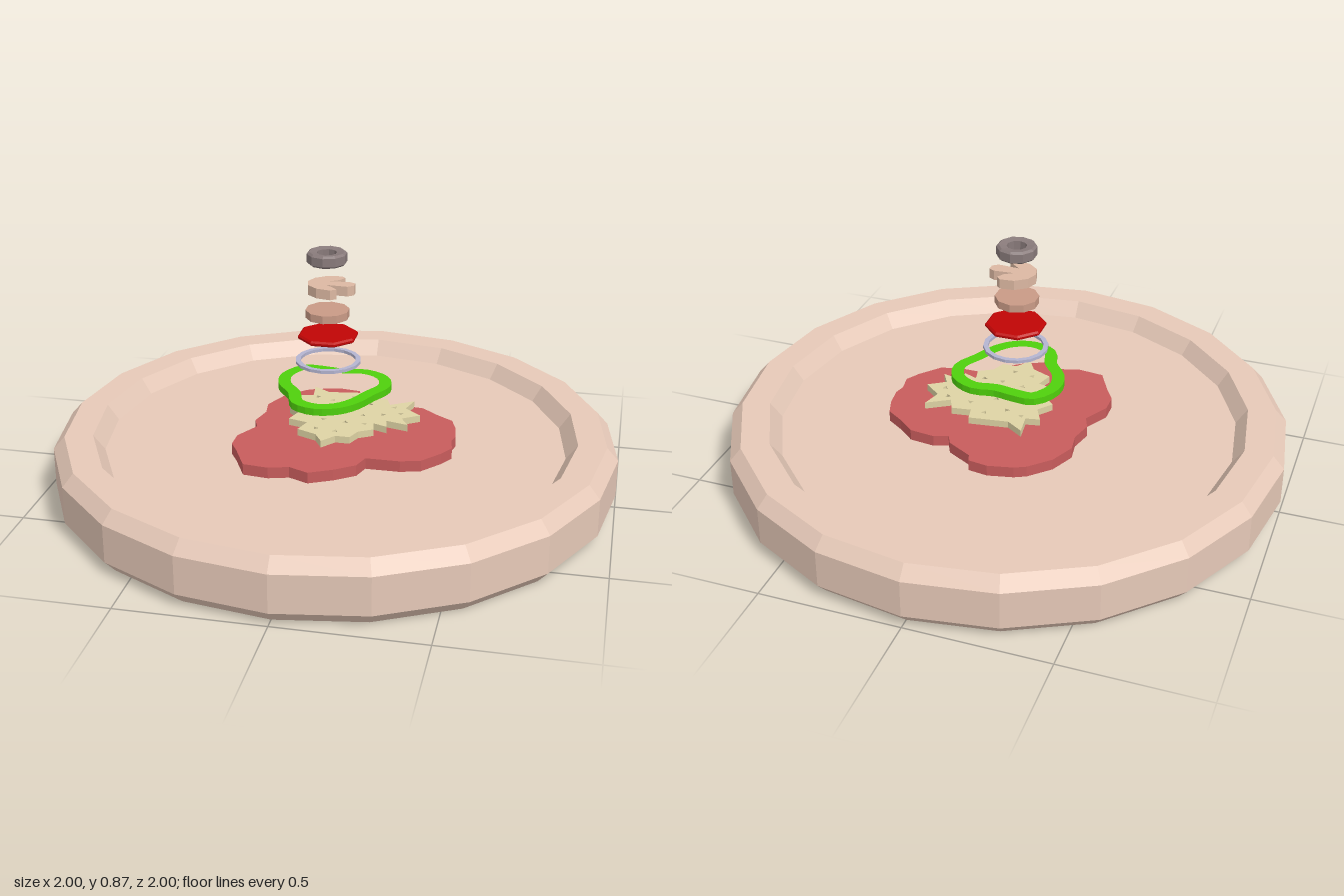
import * as THREE from 'three';

const mat = (color) => new THREE.MeshStandardMaterial({ color, flatShading: true });

// outline given as [x, z] pairs in hundredths of a unit
const toPoints = (pairs) => pairs.map(([x, z]) => new THREE.Vector2(x / 100, -z / 100));

// closed ring of points around (cx, cz)
function circle(cx, cz, r, sides, turn = 0) {
  return Array.from({ length: sides }, (_, i) => {
    const a = turn + (i / sides) * Math.PI * 2;
    return new THREE.Vector2(cx + r * Math.cos(a), -cz + r * Math.sin(a));
  });
}

// flat slab lying between heights y0 and y1
function slab(name, color, outline, y0, y1, holes = []) {
  const shape = new THREE.Shape(outline);
  shape.holes = holes.map((h) => new THREE.Path(h));
  const geo = new THREE.ExtrudeGeometry(shape, { depth: y1 - y0, bevelEnabled: false });
  geo.rotateX(-Math.PI / 2).translate(0, y0, 0);
  const mesh = new THREE.Mesh(geo, mat(color));
  mesh.name = name;
  return mesh;
}

// faceted solid of revolution from [radius, height] pairs
function turned(name, color, profile, sides, x = 0, z = 0, turn = 0) {
  const geo = new THREE.LatheGeometry(profile.map(([r, y]) => new THREE.Vector2(r, y)), sides);
  geo.rotateY(turn).translate(x, 0, z);
  const mesh = new THREE.Mesh(geo, mat(color));
  mesh.name = name;
  return mesh;
}

export function createModel() {
  const group = new THREE.Group();
  group.name = 'explodedPizza';

  // dough base with bevelled raised crust
  group.add(turned('dough', 0xe6c9b8, [
    [0, 0], [0.96, 0], [1, 0.045], [1, 0.18], [0.96, 0.225],
    [0.86, 0.225], [0.82, 0.17], [0, 0.17],
  ], 20));

  // irregular puddle of sauce
  group.add(slab('sauce', 0xc85c5c, toPoints([
    [-5, -36], [-14, -34], [-18, -32], [-25, -25], [-29, -16], [-28, -9], [-30, -1], [-28, 4],
    [-33, 13], [-33, 20], [-30, 25], [-25, 35], [-16, 36], [-9, 34], [-2, 37], [6, 33],
    [13, 28], [15, 22], [27, 22], [34, 20], [40, 13], [43, 8], [42, 2], [43, -2],
    [42, -9], [40, -15], [34, -19], [28, -24], [19, -25], [14, -23], [12, -27], [3, -32], [2, -35],
  ]), 0.17, 0.21));

  // ragged cheese with small triangular gaps
  const gaps = [
    [-9, -12], [-3, -10], [4, -14], [11, -9], [20, -8], [17, -1], [10, 1], [3, -4], [-6, -2],
    [-10, 4], [-3, 7], [5, 8], [12, 8], [-4, 15], [3, 16], [23, -3],
  ].map(([x, z], i) => circle(x / 100, z / 100, 0.012, 3, i * 1.3));
  group.add(slab('cheese', 0xded3a4, toPoints([
    [-12, -21], [-6, -17], [8, -19], [9, -14], [16, -15], [18, -10], [26, -15], [24, -8],
    [30, -3], [24, 1], [27, 6], [19, 4], [20, 9], [15, 7], [16, 12], [11, 15], [9, 20],
    [4, 20], [0, 25], [-3, 20], [-10, 17], [-8, 11], [-15, 9], [-13, 3], [-17, -1],
    [-13, -6], [-16, -12], [-11, -13],
  ]), 0.25, 0.275, gaps));

  // wavy pepper ring: offset a centre line to both sides
  const line = new THREE.CatmullRomCurve3(toPoints([
    [-14, -14], [-7, -14], [0, -13], [8, -14], [15, -10], [17, -3], [13, 5],
    [9, 13], [4, 18], [-3, 20], [-10, 17], [-13, 9], [-18, 2], [-19, -6],
  ]).map((p) => new THREE.Vector3(p.x, p.y, 0)), true);
  const offset = (d) => Array.from({ length: 42 }, (_, i) => {
    const p = line.getPoint(i / 42);
    const t = line.getTangent(i / 42);
    return new THREE.Vector2(p.x - t.y * d, p.y + t.x * d);
  });
  group.add(slab('pepperRing', 0x4fd00c, offset(0.022), 0.355, 0.38, [offset(-0.022)]));

  // thin onion ring
  group.add(slab('onionRing', 0xb4b4d0, circle(-0.025, 0.01, 0.115, 16), 0.47, 0.481,
    [circle(-0.025, 0.01, 0.098, 16)]));

  // salami slice with slightly bevelled rim
  group.add(turned('salamiSlice', 0xc00505, [
    [0, 0.558], [0.1, 0.558], [0.107, 0.563], [0.107, 0.57], [0.1, 0.576], [0, 0.576],
  ], 8, -0.027, 0.002, Math.PI / 8));

  // sausage slice
  group.add(turned('sausageSlice', 0xc99a86, [
    [0, 0.642], [0.077, 0.642], [0.077, 0.67], [0, 0.67],
  ], 10, -0.025, 0.02));

  // mushroom slice: domed cap with a stem
  group.add(slab('mushroomSlice', 0xdcb8a2, toPoints([
    [1, -6], [-4, -5.5], [-8, -2.5], [-9.5, 1.5], [-8.5, 5.5], [-5, 8.5], [0, 9.5],
    [2, 8], [0, 6], [-2.5, 4], [5, 4.5], [7, 3], [7, 0.5], [5, -0.5],
    [-2, 0], [1, -2], [2.5, -4.5],
  ]), 0.73, 0.765));

  // olive ring with rounded edges
  group.add(turned('oliveRing', 0x897b7b, [
    [0.035, 0.835], [0.062, 0.83], [0.07, 0.837], [0.07, 0.867],
    [0.062, 0.874], [0.035, 0.87], [0.035, 0.835],
  ], 10, -0.03, 0.003));

  return group;
}
